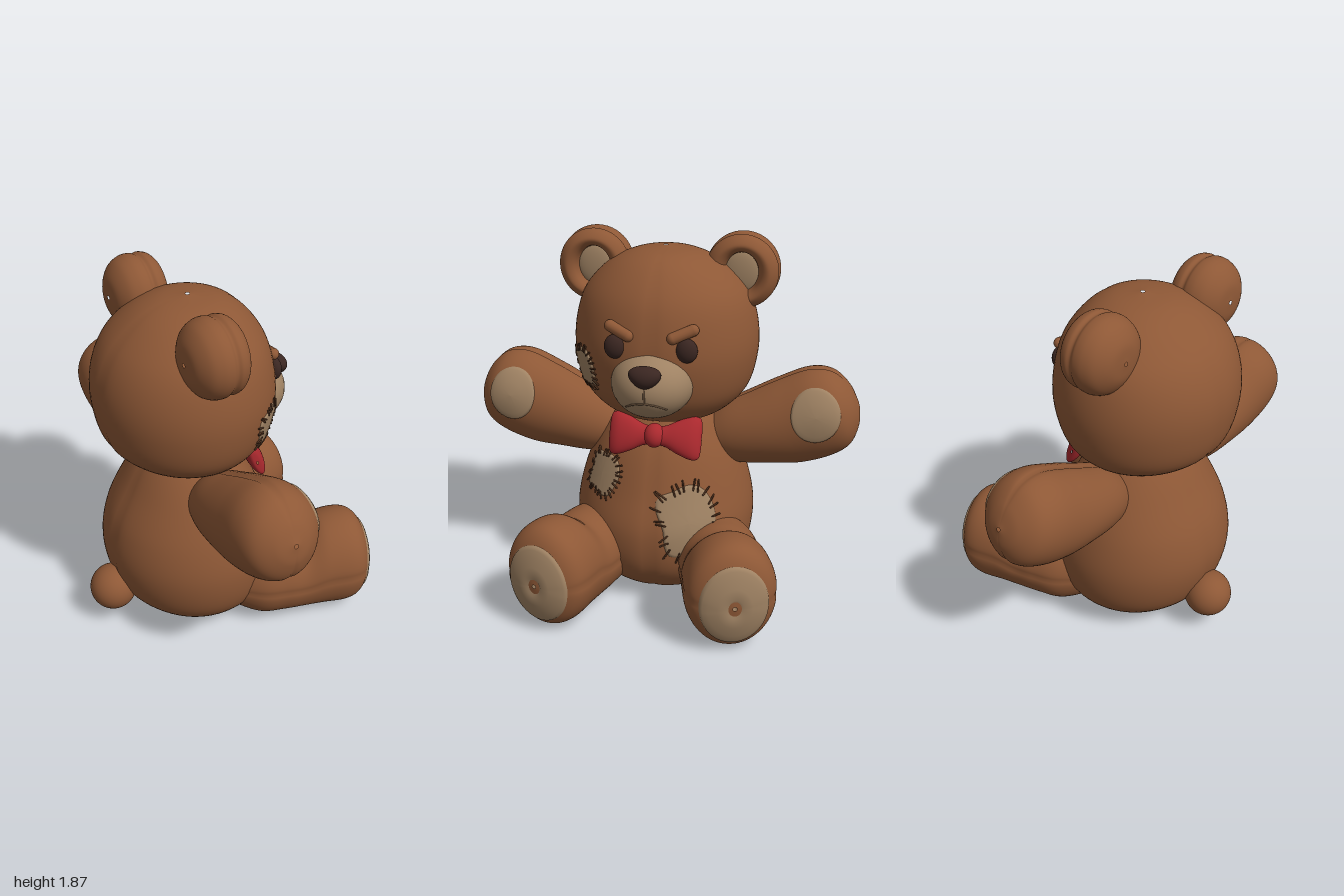
import * as THREE from 'three';
import { mergeGeometries } from 'three/addons/utils/BufferGeometryUtils.js';

const V = (x, y, z) => new THREE.Vector3(x, y, z);
const UP = V(0, 1, 0), FRONT = V(0, 0, 1);
const mat = (name, color) => Object.assign(new THREE.MeshStandardMaterial({ color }), { name });

// Smooth closed skin over elliptical sections; each key is [s, halfU, halfV, offsetU, offsetV]
// along dir, with v across it. A seam groove can run where the section crosses u or v.
function loftGeometry(keys, { origin = V(0, 0, 0), dir = UP, v = FRONT, seam = null, depth = 0.02, segs = 80, rows = 64 } = {}) {
  const main = new THREE.CatmullRomCurve3(keys.map(k => V(k[0], k[1], k[2])), false, 'catmullrom', 0.5);
  const off = new THREE.CatmullRomCurve3(keys.map(k => V(k[3] || 0, k[4] || 0, 0)), false, 'catmullrom', 0.5);
  const pos = [], index = [];
  for (let i = 0; i <= rows; i++) {
    const m = main.getPoint(i / rows), o = off.getPoint(i / rows);
    for (let j = 0; j < segs; j++) {
      const c = Math.cos(j / segs * Math.PI * 2), s = Math.sin(j / segs * Math.PI * 2);
      const across = seam === 'v' ? c : s;
      const g = seam ? 1 - depth * Math.exp(-((across / 0.07) ** 2)) : 1;
      pos.push(o.x + Math.max(m.y, 0.001) * c * g, m.x, o.y + Math.max(m.z, 0.001) * s * g);
      if (i < rows) {
        const a = i * segs + j, b = i * segs + (j + 1) % segs;
        index.push(a, a + segs, b, b, a + segs, b + segs);
      }
    }
  }
  const geo = new THREE.BufferGeometry();
  geo.setAttribute('position', new THREE.Float32BufferAttribute(pos, 3));
  geo.setIndex(index);
  const basis = new THREE.Matrix4().makeBasis(dir.clone().cross(v), dir, v).setPosition(origin);
  geo.applyMatrix4(basis);
  geo.computeVertexNormals();
  return geo;
}

// Point on a mesh reached by looking along -n through p
const ray = new THREE.Raycaster();
function surface(mesh, p, n) {
  ray.set(p.clone().addScaledVector(n, 0.6), n.clone().negate());
  const hit = ray.intersectObject(mesh)[0];
  return hit ? hit.point : p.clone();
}

// Rounded cloth plate that follows the surface beneath it; returns [plate, stitches]
function patchGeometry(target, center, normal, a, b, { power = 2, turn = 0, wobble = 0, lift = 0.008, stitches = 0 } = {}) {
  const n = normal.clone().normalize();
  const v = UP.clone().addScaledVector(n, -n.y).normalize(), u = v.clone().cross(n);
  const at = (t, r, h) => {
    const c = Math.cos(t), s = Math.sin(t);
    const k = r * (1 + wobble * Math.sin(5 * t + 1)) / (Math.abs(c) ** power + Math.abs(s) ** power) ** (1 / power);
    const x = a * k * c, y = b * k * s;
    const p = center.clone()
      .addScaledVector(u, x * Math.cos(turn) - y * Math.sin(turn))
      .addScaledVector(v, x * Math.sin(turn) + y * Math.cos(turn));
    return surface(target, p, n).addScaledVector(n, h);
  };
  const rings = [[0.001, lift], [0.25, lift], [0.5, lift], [0.75, lift], [0.9, lift], [0.97, lift * 0.8], [1, -0.008]];
  const segs = 48, pos = [], index = [];
  rings.forEach(([r, h], i) => {
    for (let j = 0; j < segs; j++) {
      pos.push(...at(j / segs * Math.PI * 2, r, h).toArray());
      if (i < rings.length - 1) {
        const p = i * segs + j, q = i * segs + (j + 1) % segs;
        index.push(p, p + segs, q, q, p + segs, q + segs);
      }
    }
  });
  const plate = new THREE.BufferGeometry();
  plate.setAttribute('position', new THREE.Float32BufferAttribute(pos, 3));
  plate.setIndex(index);
  plate.computeVertexNormals();
  const threads = [];
  for (let j = 0; j < stitches; j++) {
    const t = (j + 0.25 * Math.sin(j * 2.3)) / stitches * Math.PI * 2;
    const p = at(t, 0.86, 0.009), q = at(t + 0.06 * Math.sin(j * 3.7), 1.14, 0.005);
    const d = q.clone().sub(p), len = d.length();
    const g = new THREE.CapsuleGeometry(0.005, len, 2, 6);
    g.applyQuaternion(new THREE.Quaternion().setFromUnitVectors(UP, d.normalize()));
    threads.push(g.translate(...p.add(q).multiplyScalar(0.5).toArray()));
  }
  return [plate, threads.length ? mergeGeometries(threads) : null];
}

export function createModel() {
  const fur = mat('brown fur', 0x8e5836), tan = mat('tan cloth', 0x9f8263), dark = mat('dark nose', 0x3a2621);
  const thread = mat('stitch thread', 0x4b2e1c), red = mat('red bow', 0xaa292e), line = mat('mouth line', 0x755b43);
  const model = new THREE.Group(), bear = new THREE.Group();
  bear.name = 'teddyBear';
  bear.rotation.y = Math.PI / 2; // built facing +z, then turned to face +x
  model.add(bear);
  const add = (name, geo, material, parent = bear) => {
    const m = new THREE.Mesh(geo, material);
    m.name = name;
    parent.add(m);
    return m;
  };
  const ball = (x, y, z, rx, ry, rz) => new THREE.SphereGeometry(1, 40, 28).scale(rx, ry, rz).translate(x, y, z);

  // Body, head and tail
  const body = add('body', loftGeometry([
    [0.003, 0.01, 0.01, 0, -0.14], [0.012, 0.2, 0.2, 0, -0.14], [0.06, 0.33, 0.31, 0, -0.11],
    [0.2, 0.44, 0.425, 0, -0.115], [0.4, 0.475, 0.46, 0, -0.13], [0.6, 0.44, 0.415, 0, -0.145],
    [0.8, 0.36, 0.33, 0, -0.135], [0.95, 0.26, 0.24, 0, -0.14], [1.05, 0.15, 0.15, 0, -0.14], [1.1, 0.01, 0.01, 0, -0.14],
  ], { seam: 'v' }), fur);
  const head = add('head', loftGeometry([
    [0.94, 0.01, 0.01, 0, -0.14], [0.947, 0.2, 0.2, 0, -0.14], [0.985, 0.315, 0.295, 0, -0.14],
    [1.1, 0.425, 0.4, 0, -0.155], [1.28, 0.47, 0.445, 0, -0.155], [1.45, 0.46, 0.435, 0, -0.155],
    [1.6, 0.405, 0.38, 0, -0.145], [1.72, 0.29, 0.275, 0, -0.13], [1.785, 0.16, 0.16, 0, -0.12], [1.81, 0.01, 0.01, 0, -0.12],
  ], { seam: 'v', depth: 0.015 }), fur);
  add('tail', ball(0, 0.21, -0.593, 0.122, 0.122, 0.122), fur);

  // Muzzle, nose and frowning mouth
  const muzzle = add('muzzle', ball(0, 1.205, 0.2, 0.205, 0.175, 0.21), tan);
  const nose = new THREE.SphereGeometry(1, 32, 24), np = nose.attributes.position;
  for (let i = 0; i < np.count; i++) np.setX(i, np.getX(i) * (0.9 + 0.25 * np.getY(i)));
  nose.scale(0.085, 0.055, 0.052).translate(0, 1.29, 0.388).computeVertexNormals();
  add('nose', nose, dark);
  const mouthTube = pts => new THREE.TubeGeometry(
    new THREE.CatmullRomCurve3(pts.map(([x, y]) => surface(muzzle, V(x, y, 0.3), FRONT))), 24, 0.005, 6);
  add('mouth', mergeGeometries([
    mouthTube([[-0.1, 1.125], [-0.06, 1.15], [0, 1.162], [0.06, 1.15], [0.1, 1.125]]),
    mouthTube([[0, 1.25], [0, 1.2], [0, 1.162]]),
  ]), line);

  for (const d of [1, -1]) {
    const side = d > 0 ? 'left' : 'right';
    // Eye and slanted brow
    const e = surface(head, V(d * 0.175, 1.39, 0.2), FRONT);
    add(side + 'Eye', ball(e.x, e.y, e.z, 0.053, 0.06, 0.036), dark);
    const b = surface(head, V(d * 0.155, 1.468, 0.2), FRONT);
    const brow = new THREE.CapsuleGeometry(0.029, 0.105, 8, 16);
    brow.applyQuaternion(new THREE.Quaternion().setFromUnitVectors(UP, V(d * 0.9, 0.36, -0.3).normalize()));
    add(side + 'Brow', brow.translate(b.x, b.y, b.z), fur);

    // Ear: hollow cup with a cloth lining
    add(side + 'Ear', loftGeometry([
      [-0.13, 0.01, 0.01], [-0.12, 0.09, 0.09], [-0.08, 0.155, 0.155], [-0.03, 0.183, 0.185], [0.015, 0.187, 0.189],
      [0.04, 0.177, 0.179], [0.065, 0.184, 0.186], [0.1, 0.172, 0.174], [0.127, 0.138, 0.142], [0.115, 0.102, 0.115],
      [0.08, 0.085, 0.1], [0.03, 0.08, 0.095],
    ], { origin: V(d * 0.375, 1.683, -0.22), dir: FRONT, v: UP, segs: 48 }), fur);
    add(side + 'EarLining', ball(d * 0.375, 1.683, -0.165, 0.092, 0.108, 0.025), tan);

    // Outstretched arm and paw pad
    const arm = add(side + 'Arm', loftGeometry([
      [0, 0.12, 0.13], [0.12, 0.17, 0.17], [0.26, 0.2, 0.195], [0.42, 0.232, 0.207], [0.58, 0.238, 0.21, -0.012 * d],
      [0.69, 0.2, 0.18, -0.012 * d], [0.755, 0.11, 0.1, -0.008 * d], [0.78, 0.01, 0.01],
    ], { origin: V(d * 0.25, 0.8, -0.145), dir: V(d * 0.9563, 0.2924, 0), v: FRONT, seam: 'u', depth: 0.05 }), fur);
    add(side + 'PawPad', patchGeometry(arm, V(d * 0.787, 1.02, 0.04), V(d * 0.1, 0, 1), 0.125, 0.137)[0], tan);

    // Leg with a swollen foot and sole pad
    const dir = V(d * 0.2924, 0, 0.9563);
    const leg = add(side + 'Leg', loftGeometry([
      [-0.05, 0.12, 0.15, 0, 0.24], [0.1, 0.2, 0.22, 0, 0.24], [0.23, 0.217, 0.23, 0, 0.245], [0.34, 0.217, 0.232, 0, 0.247],
      [0.45, 0.225, 0.268, 0, 0.28], [0.58, 0.226, 0.275, 0, 0.285], [0.655, 0.193, 0.235, 0, 0.28],
      [0.7, 0.11, 0.13, 0, 0.275], [0.715, 0.01, 0.01, 0, 0.275],
    ], { origin: V(d * 0.285, 0, 0), dir, v: UP, seam: 'u', depth: 0.03 }), fur);
    add(side + 'SolePad', patchGeometry(leg, V(d * 0.485, 0.272, 0.65), dir, 0.172, 0.212, { lift: 0.009 })[0], tan);
  }

  // Bow tie
  const bow = new THREE.Group();
  bow.name = 'bowTie';
  bow.position.set(0, 0.905, 0.168);
  bow.rotation.x = -0.42;
  bear.add(bow);
  for (const d of [1, -1]) {
    add(d > 0 ? 'leftLoop' : 'rightLoop', loftGeometry([
      [0.01, 0.045, 0.03], [0.06, 0.055, 0.035], [0.12, 0.085, 0.042, 0, -0.004], [0.18, 0.107, 0.043, 0, -0.012],
      [0.215, 0.107, 0.036, 0, -0.02], [0.232, 0.085, 0.022, 0, -0.024], [0.236, 0.01, 0.005, 0, -0.026],
    ], { dir: V(d, 0, 0), v: FRONT, segs: 40, rows: 32 }), red, bow);
  }
  add('knot', ball(0, 0, 0.008, 0.053, 0.062, 0.05), red, bow);

  // Stitched repair patches
  const patches = [
    ['cheek', head, V(-0.375, 1.225, 0.11), V(-0.8, -0.08, 0.6), 0.095, 0.1, 0.15],
    ['chest', body, V(-0.285, 0.67, 0.165), V(-0.55, 0.25, 0.8), 0.108, 0.105, -0.12],
    ['belly', body, V(0.2, 0.485, 0.28), V(0.4, 0.15, 0.9), 0.145, 0.18, 0.14],
  ];
  for (const [name, target, center, n, a, b, turn] of patches) {
    const [plate, stitches] = patchGeometry(target, center, n, a, b, { power: 4, turn, wobble: 0.05, stitches: 26 });
    add(name + 'Patch', plate, tan);
    add(name + 'Stitches', stitches, thread);
  }
  return model;
}
